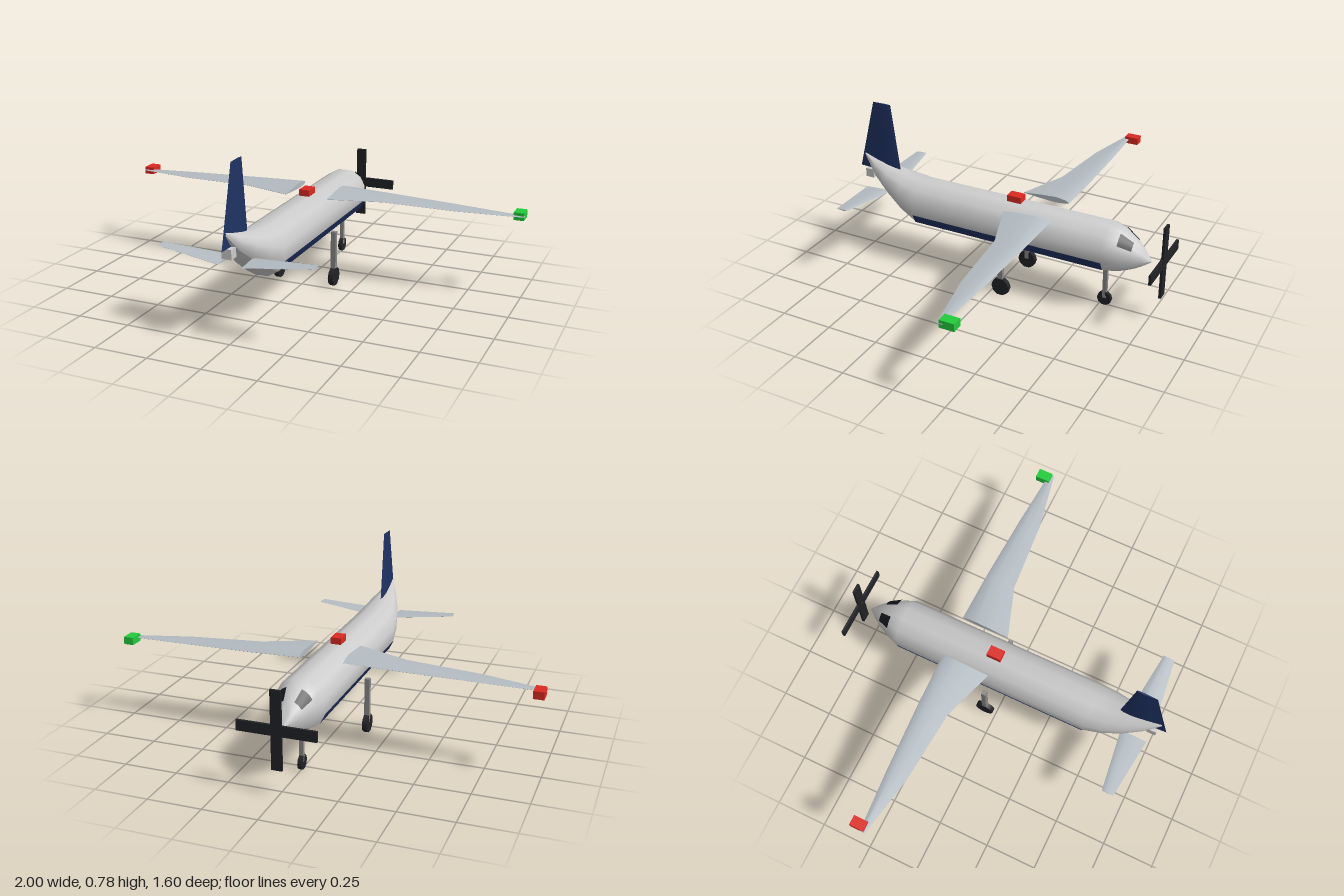
import * as THREE from 'three';
import { toCreasedNormals } from 'three/addons/utils/BufferGeometryUtils.js';

const paint = (color, side = THREE.FrontSide) => new THREE.MeshStandardMaterial({ color, side });
const rad = THREE.MathUtils.degToRad;

// Joins rings of [x, y, z] points; closed rings also get flat end caps.
function loft(rings, closed, crease) {
  const n = rings[0].length, index = [];
  const last = rings.length - 1;
  for (let i = 0; i < last; i++) {
    for (let j = 0; j < (closed ? n : n - 1); j++) {
      const k = (j + 1) % n, a = i * n + j, b = i * n + k;
      index.push(a, b, a + n, b, b + n, a + n);
    }
  }
  if (closed) {
    for (let j = 1; j < n - 1; j++) {
      index.push(0, j + 1, j, last * n, last * n + j, last * n + j + 1);
    }
  }
  const geometry = new THREE.BufferGeometry();
  geometry.setAttribute('position', new THREE.Float32BufferAttribute(rings.flat(2), 3));
  geometry.setIndex(index);
  return toCreasedNormals(geometry, crease);
}

// Fuselage stations: z, top, bottom, half width (nose at -z)
const STATIONS = [
  [-0.74, 0.293, 0.287, 0.003], [-0.70, 0.338, 0.26, 0.035], [-0.66, 0.376, 0.238, 0.062],
  [-0.60, 0.415, 0.215, 0.092], [-0.54, 0.435, 0.203, 0.113], [0.44, 0.435, 0.203, 0.113],
  [0.53, 0.445, 0.255, 0.1], [0.62, 0.462, 0.325, 0.075], [0.70, 0.482, 0.395, 0.042],
  [0.77, 0.503, 0.49, 0.005],
];

// A patch of fuselage skin across the given angles, lifted by an offset
function skin(stations, angles, crease, lift = 0) {
  const flat = Math.cos(rad(15));
  return loft(stations.map(([z, top, bottom, w]) => angles.map((deg) => {
    const a = rad(deg);
    return [
      (w / flat + lift) * Math.cos(a),
      (top + bottom) / 2 + ((top - bottom) / 2 / flat + lift) * Math.sin(a),
      z,
    ];
  })), false, crease);
}

// Aerofoil outline: chord fraction, thickness fraction
const FOIL = [[0, 0], [0.08, 0.6], [0.3, 1], [0.65, 0.6], [1, 0.05], [1, -0.05], [0.65, -0.5], [0.3, -0.8], [0.08, -0.5]];

// Horizontal surface from sections: x, y, leading z, trailing z, half thickness
function surface(sections, side) {
  const rings = sections.map(([x, y, z0, z1, t]) =>
    FOIL.map(([u, v]) => [side * x, y + v * t, z0 + u * (z1 - z0)]));
  if (side < 0) rings.reverse();
  return loft(rings, true, 0.7);
}

export function createModel() {
  const model = new THREE.Group();
  const white = paint(0xe6e6e6);
  const silver = paint(0xb4bcc2, THREE.DoubleSide);
  const navy = paint(0x1f3263, THREE.DoubleSide);
  const black = paint(0x202226);
  const glass = paint(0x16191f, THREE.DoubleSide);
  const metal = paint(0x888888);
  const red = paint(0xdd2a22);
  const green = paint(0x22cc3c);

  const add = (name, geometry, material, x = 0, y = 0, z = 0) => {
    const mesh = new THREE.Mesh(geometry, material);
    mesh.name = name;
    mesh.position.set(x, y, z);
    model.add(mesh);
    return mesh;
  };
  const box = (name, w, h, d, material, x, y, z) =>
    add(name, new THREE.BoxGeometry(w, h, d), material, x, y, z);

  // Fuselage: smooth upper hull and faceted belly
  const upper = Array.from({ length: 10 }, (_, i) => -45 + 30 * i);
  add('fuselage', skin(STATIONS, upper, 1), white);
  add('belly', skin(STATIONS, [-135, -105, -75, -45], 0.3), white);

  // Side stripes and cockpit windows lie just proud of the skin
  const barrel = STATIONS.slice(4, 6), cockpit = STATIONS.slice(2, 4);
  add('leftStripe', skin(barrel, [-41, -15], 0.3, 0.003), navy);
  add('rightStripe', skin(barrel, [195, 221], 0.3, 0.003), navy);
  add('leftWindow', skin(cockpit, [33, 45, 56, 69], 1, 0.003), glass);
  add('rightWindow', skin(cockpit, [111, 124, 135, 147], 1, 0.003), glass);

  // Wings, stabilizers and main gear, mirrored
  for (const side of [1, -1]) {
    const label = side > 0 ? 'left' : 'right';
    add(label + 'Wing', surface([
      [0.105, 0.425, -0.286, -0.05, 0.016],
      [0.355, 0.418, -0.282, -0.136, 0.011],
      [0.705, 0.409, -0.267, -0.165, 0.007],
      [0.998, 0.401, -0.248, -0.222, 0.003],
    ], side), silver);
    add(label + 'Stabilizer', surface([
      [0.055, 0.347, 0.607, 0.736, 0.008],
      [0.36, 0.375, 0.644, 0.7, 0.003],
    ], side), silver);
    box(label + 'WingLight', 0.048, 0.036, 0.07, side > 0 ? green : red, side * 0.972, 0.4, -0.265);
    box(label + 'MainStrut', 0.024, 0.22, 0.022, metal, side * 0.142, 0.16, -0.056);
    add(label + 'MainWheel', new THREE.CylinderGeometry(0.045, 0.045, 0.024, 10).rotateZ(Math.PI / 2),
      black, side * 0.142, 0.045, -0.056);
  }

  // Fin, tapering upwards: y, leading z, trailing z, half thickness
  const fin = [[0.43, 0.567, 0.8, 0.009], [0.783, 0.612, 0.708, 0.004]];
  add('fin', loft(fin.map(([y, z0, z1, t]) =>
    FOIL.map(([u, v]) => [-v * t, y, z0 + u * (z1 - z0)])), true, 0.7), navy);

  // Beacon and tail light
  box('beacon', 0.05, 0.036, 0.07, red, 0, 0.448, -0.062);
  box('tailLight', 0.044, 0.044, 0.044, white, 0, 0.407, 0.738);

  // Nose gear
  box('noseStrut', 0.018, 0.19, 0.02, metal, 0, 0.135, -0.525);
  add('noseWheel', new THREE.CylinderGeometry(0.035, 0.035, 0.018, 10).rotateZ(Math.PI / 2),
    black, 0, 0.037, -0.525);

  // Four-bladed propeller
  box('propellerAcross', 0.358, 0.048, 0.012, black, 0, 0.304, -0.796);
  box('propellerUpright', 0.048, 0.358, 0.012, black, 0, 0.304, -0.796);
  add('propellerHub', new THREE.CylinderGeometry(0.018, 0.018, 0.016, 10).rotateX(Math.PI / 2),
    black, 0, 0.304, -0.79);

  return model;
}
